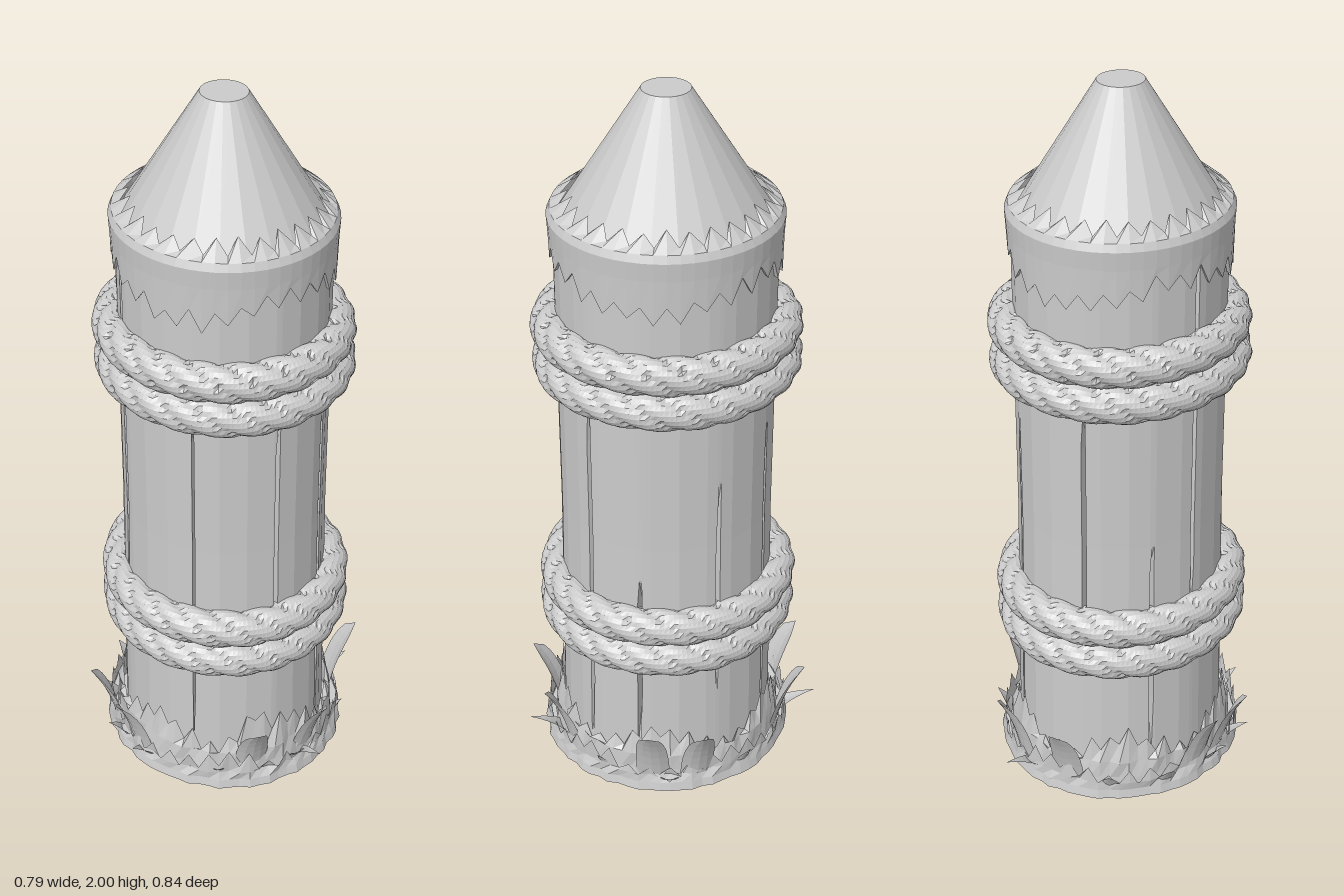
import * as THREE from 'three';

const TAU = Math.PI * 2;

// repeatable noise in 0..1
function noise(i, seed = 0) {
  const s = Math.sin(i * 12.9898 + seed * 78.233) * 43758.5453;
  return s - Math.floor(s);
}

// point at an angle around the post (0 = front, positive towards +x)
const polar = (a, r, y) => [Math.sin(a) * r, y, Math.cos(a) * r];

// surface from a grid of cross-sections: point(i, j) -> [x, y, z]
function sheet(cols, rows, point) {
  const pos = [], index = [];
  for (let j = 0; j <= rows; j++) for (let i = 0; i <= cols; i++) pos.push(...point(i, j));
  for (let j = 0; j < rows; j++) {
    for (let i = 0; i < cols; i++) {
      const a = j * (cols + 1) + i, d = a + cols + 1;
      index.push(a, a + 1, d + 1, a, d + 1, d);
    }
  }
  const g = new THREE.BufferGeometry();
  g.setAttribute('position', new THREE.Float32BufferAttribute(pos, 3));
  g.setIndex(index);
  g.computeVertexNormals();
  return g;
}

const material = new THREE.MeshStandardMaterial({ color: 0xcccccc, flatShading: true, side: THREE.DoubleSide });

function part(name, geometry) {
  const mesh = new THREE.Mesh(geometry, material);
  mesh.name = name;
  return mesh;
}

// faceted shaft with long V-shaped cracks cut into it
function shaft() {
  const cracks = [ // angle, bottom, top
    [0.04, 0.5, 1.18], [0.68, 0.1, 1.12], [1.2, 0.1, 0.7], [1.95, 0.3, 1.0], [2.6, 0.1, 1.1],
    [3.5, 0.5, 1.16], [4.15, 0.1, 0.8], [4.6, 0.6, 1.6], [5.5, 0.1, 1.15],
  ];
  const ring = [];
  for (let k = 0; k < 24; k++) ring.push({ a: k / 24 * TAU });
  for (const c of cracks) {
    ring.push({ a: c[0] - 0.022 }, { a: c[0], crack: c }, { a: c[0] + 0.022 });
  }
  ring.sort((p, q) => p.a - q.a);
  ring.push({ ...ring[0], a: ring[0].a + TAU });
  const ys = [0, 0.1, 0.3, 0.5, 0.6, 0.7, 0.8, 1.0, 1.1, 1.2, 1.4, 1.55, 1.68];
  return sheet(ring.length - 1, ys.length - 1, (i, j) => {
    const { a, crack } = ring[i], y = ys[j];
    let r = 0.289 + 0.012 * Math.max(0, 1 - y / 0.8);
    if (crack && y > crack[1] && y < crack[2]) r -= 0.035;
    return polar(a, r, y);
  });
}

// cap band with a ragged lower hem and teeth folded onto the cone
function capBand() {
  const n = 56;
  return sheet(n, 5, (i, j) => {
    const k = i % n, a = k / n * TAU;
    const hem = 1.545 + 0.025 * Math.sin(a * 3 + 1) + (k % 2 ? 0.025 : -0.025) * (0.4 + noise(k, 1));
    const tooth = k % 2 ? 0.237 + 0.012 * noise(k, 2) : 0.272;
    const rows = [
      [0.282, hem + 0.01], [0.298, hem], [0.3, 1.62], [0.303, 1.67],
      [0.294, 1.69], [tooth, 1.69 + (0.28 - tooth) * 1.05],
    ];
    return polar(a, ...rows[j]);
  });
}

// rope ring made of four twisted strands
function rope(R, seed) {
  const n = 168, m = 24;
  return sheet(n, m, (i, j) => {
    const a = (i % n) / n * TAU, p = (j % m) / m * TAU;
    const strand = Math.abs(Math.cos(2 * (p + 5 * a) + seed));
    const rho = 0.054 * (0.76 + 0.24 * Math.sqrt(strand));
    const wob = 0.004 * Math.sin(3 * a + seed);
    return polar(a, R + wob + rho * Math.cos(p), wob + rho * Math.sin(p));
  });
}

// ragged collar of growth at the foot, closed underneath
function collar(r, height, seed, closed) {
  const n = 72;
  return sheet(n, 4, (i, j) => {
    const k = i % n, a = k / n * TAU;
    const clump = 0.09 * Math.exp(-(((a - 6.07) / 0.16) ** 2)) * (closed ? 0 : 1);
    const top = height * (0.75 + 0.25 * Math.sin(a * 5 + seed)) + clump
      + (k % 2 ? 0.035 : -0.01) * (0.5 + noise(k, seed));
    const out = r + 0.01 * (noise(k, seed + 3) - 0.5);
    const rows = [
      [closed ? 0 : 0.29, 0], [out, 0], [out - 0.006, height * 0.3],
      [r - 0.018 + 0.014 * noise(k, seed + 5), height * 0.6], [closed ? r - 0.01 : 0.306, top],
    ];
    return polar(a, ...rows[j]);
  });
}

// cupped leaf bending outwards from the foot of the post
function leaf(angle, tipR, tipY, width, pointed) {
  const path = new THREE.QuadraticBezierCurve(
    new THREE.Vector2(0.32, 0.01),
    new THREE.Vector2(pointed ? 0.34 : 0.345, tipY * 0.65),
    new THREE.Vector2(tipR, tipY));
  return sheet(4, 7, (i, j) => {
    const t = j / 7, s = i / 2 - 1, p = path.getPoint(t);
    const w = width / 2 * (pointed ? 1 - t : Math.sqrt(1 - t ** 3));
    const r = p.x - 0.35 * w * s * s, side = s * w;
    const c = Math.cos(angle), d = Math.sin(angle);
    return [d * r + c * side, p.y, c * r - d * side];
  });
}

export function createModel() {
  const model = new THREE.Group();
  model.name = 'roped post';

  const post = new THREE.Group();
  post.name = 'post';
  post.scale.x = 0.955;
  post.position.z = 0.007;
  model.add(post);

  post.add(part('shaft', shaft()));

  // blunt cone on top
  const cone = part('tip', new THREE.CylinderGeometry(0.063, 0.272, 0.33, 24));
  cone.position.y = 1.835;
  post.add(cone);
  post.add(part('capBand', capBand()));

  // two pairs of rope rings
  [[1.357, 0.302], [1.254, 0.302], [0.558, 0.305], [0.454, 0.306]].forEach(([y, r], k) => {
    const ring = part('rope', rope(r, k * 1.3));
    ring.position.y = y;
    ring.rotation.y = k * 0.7;
    post.add(ring);
  });

  post.add(part('innerCollar', collar(0.33, 0.17, 1, false)));
  post.add(part('outerCollar', collar(0.355, 0.085, 4, true)));

  // tall rounded leaves in pairs on the four sides
  const leaves = new THREE.Group();
  leaves.name = 'leaves';
  model.add(leaves);
  const tall = [-0.21, 0.36, 1.3, 1.7, 2.8, 3.36, 4.58, 4.97];
  tall.forEach((a, k) => leaves.add(part('tallLeaf', leaf(a, 0.4, 0.225 + 0.02 * noise(k, 7), 0.095, false))));

  // short pointed leaves
  const short = [[0.23, 0.43], [3.0, 0.43], [-0.5, 0.38], [0.85, 0.36], [1.45, 0.395], [2.15, 0.36],
    [3.75, 0.36], [4.25, 0.37], [4.77, 0.38], [5.1, 0.39]];
  short.forEach(([a, r], k) => leaves.add(part('shortLeaf', leaf(a, r, 0.08 + 0.03 * noise(k, 9), 0.09, true))));

  return model;
}
